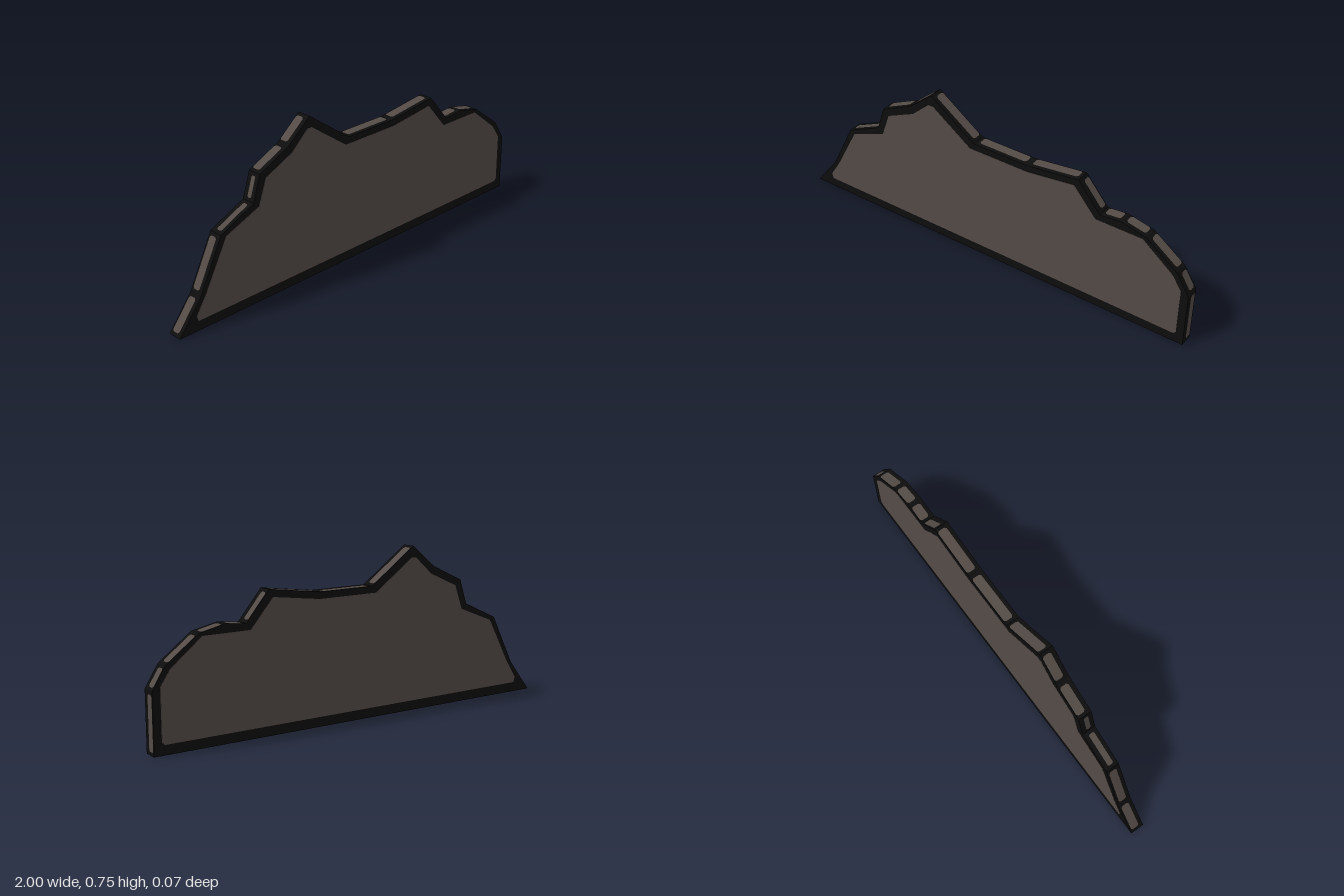
import * as THREE from 'three';

const brown = new THREE.MeshStandardMaterial({ color: 0x544b46 });
brown.name = 'rock brown';
const black = new THREE.MeshStandardMaterial({ color: 0x0d0d0d });
black.name = 'outline black';

const HALF = 0.0325;

// Silhouette, clockwise from the lower left tip
const outline = [
  [-1, 0], [-0.885, 0.147], [-0.77, 0.377], [-0.597, 0.457], [-0.56, 0.572], [-0.405, 0.645],
  [-0.285, 0.745], [-0.06, 0.585], [0.21, 0.585], [0.463, 0.618], [0.572, 0.488], [0.67, 0.498],
  [0.79, 0.472], [0.94, 0.36], [1, 0.265], [1, 0],
];

// Brown field inside the dark border
const field = [
  [-0.905, 0.044], [-0.912, 0.07], [-0.86, 0.15], [-0.745, 0.365], [-0.57, 0.435], [-0.53, 0.548],
  [-0.388, 0.613], [-0.3, 0.693], [-0.275, 0.693], [-0.08, 0.555], [0.215, 0.555], [0.445, 0.585],
  [0.553, 0.46], [0.775, 0.46], [0.92, 0.345], [0.965, 0.28], [0.965, 0.055], [0.953, 0.043],
];

// Back and front z limits of the brown panel on each rim edge, in outline order
const rimRanges = [
  [-0.025, 0.014], [-0.024, 0.014], [-0.012, 0.015], [-0.01, 0.012], [-0.03, 0.012], [-0.03, 0.012],
  [-0.03, 0.014], [-0.03, 0.014], [-0.03, 0.014], [-0.027, 0.007], [-0.03, 0.014], [-0.03, 0.014],
  [-0.03, 0.013], [-0.027, 0.01], [-0.027, 0.007], [0.004, 0.029],
];

const toShape = (points) => new THREE.Shape(points.map(([x, y]) => new THREE.Vector2(x, y)));

function slab(name, points, half, material) {
  const geometry = new THREE.ExtrudeGeometry(toShape(points), { depth: half * 2, bevelEnabled: false });
  geometry.translate(0, 0, -half);
  const mesh = new THREE.Mesh(geometry, material);
  mesh.name = name;
  return mesh;
}

// Flat panel with clipped corners, laid on the rim between two outline points
function rimPanel(a, b, [back, front]) {
  const dx = b[0] - a[0], dy = b[1] - a[1];
  const length = Math.hypot(dx, dy);
  const w = length / 2 - Math.min(0.016, length * 0.12);
  const h = (front - back) / 2;
  const c = Math.min(0.008, h * 0.4);
  const geometry = new THREE.ShapeGeometry(toShape([
    [-w + c, -h], [w - c, -h], [w, -h + c], [w, h - c],
    [w - c, h], [-w + c, h], [-w, h - c], [-w, -h + c],
  ]));
  const along = new THREE.Vector3(dx / length, dy / length, 0);
  const outward = new THREE.Vector3(-along.y, along.x, 0);
  const across = new THREE.Vector3(0, 0, -1);
  const mesh = new THREE.Mesh(geometry, brown);
  mesh.name = 'rimPanel';
  mesh.quaternion.setFromRotationMatrix(new THREE.Matrix4().makeBasis(along, across, outward));
  mesh.position.set((a[0] + b[0]) / 2, (a[1] + b[1]) / 2, (back + front) / 2);
  mesh.position.addScaledVector(outward, 0.001);
  return mesh;
}

export function createModel() {
  const model = new THREE.Group();
  model.name = 'mountainCutout';

  // Dark slab, with the brown field just proud of both faces
  model.add(slab('border', outline, HALF, black));
  model.add(slab('rockField', field, HALF + 0.001, brown));

  // Brown panels around the rim
  const rim = new THREE.Group();
  rim.name = 'rimPanels';
  outline.forEach((a, i) => rim.add(rimPanel(a, outline[(i + 1) % outline.length], rimRanges[i])));
  model.add(rim);

  return model;
}
